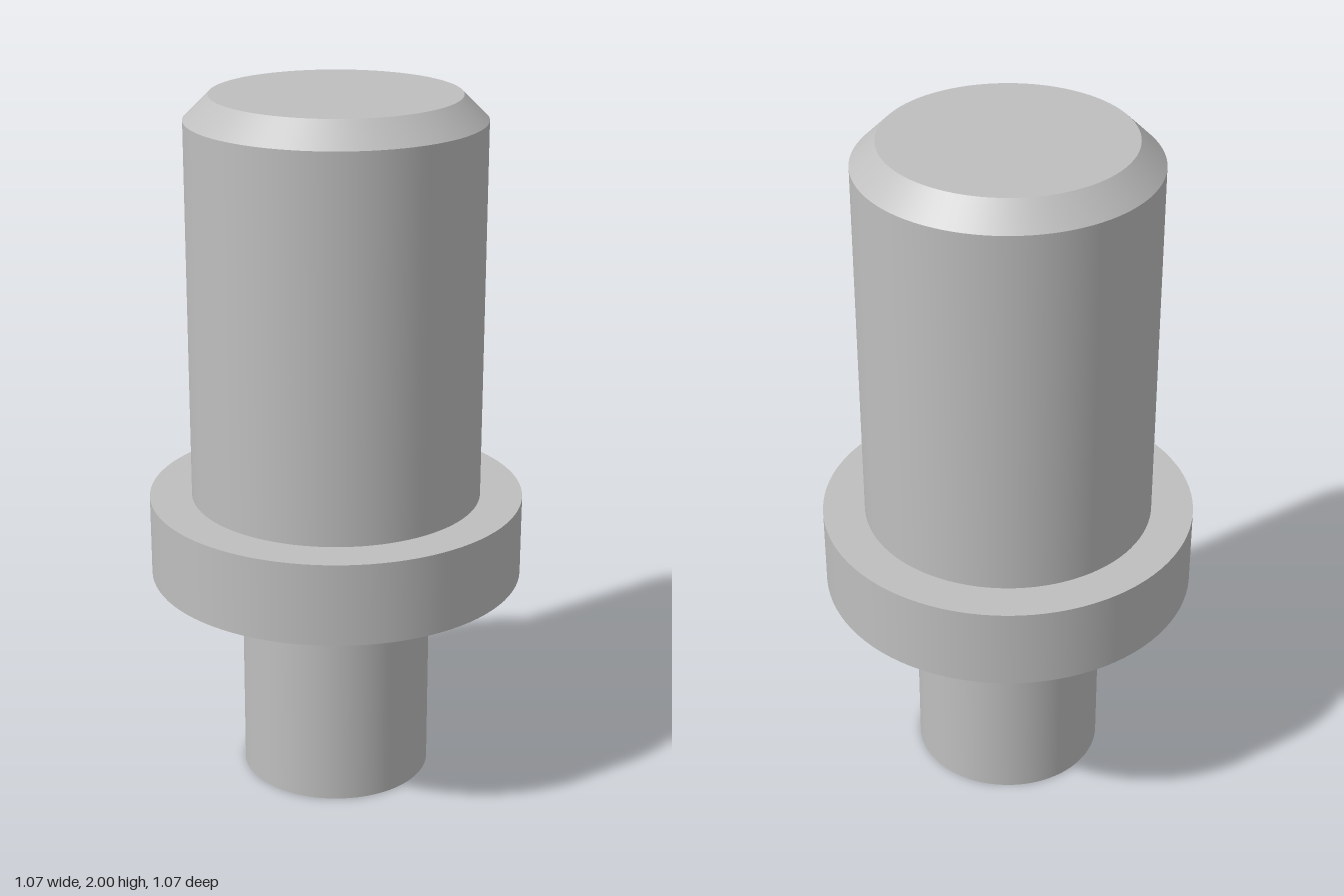
import * as THREE from 'three';

const SEGMENTS = 96;

export function createModel() {
  const group = new THREE.Group();
  group.name = 'shoulderPin';
  const steel = new THREE.MeshStandardMaterial({ color: 0xbfbfbf });
  steel.name = 'steel grey';

  // Round section between two heights, optionally tapered
  function section(name, y0, y1, rBottom, rTop, open = false) {
    const geometry = new THREE.CylinderGeometry(rTop, rBottom, y1 - y0, SEGMENTS, 1, open);
    const mesh = new THREE.Mesh(geometry, steel);
    mesh.name = name;
    mesh.position.y = (y0 + y1) / 2;
    group.add(mesh);
  }

  // Flat disc or ring facing up (or down)
  function face(name, y, rInner, rOuter, up = true) {
    const geometry = rInner > 0
      ? new THREE.RingGeometry(rInner, rOuter, SEGMENTS)
      : new THREE.CircleGeometry(rOuter, SEGMENTS);
    geometry.rotateX(up ? -Math.PI / 2 : Math.PI / 2);
    const mesh = new THREE.Mesh(geometry, steel);
    mesh.name = name;
    mesh.position.y = y;
    group.add(mesh);
  }

  const stem = 0.272, collar = 0.533, body = 0.413, tip = 0.344;

  // Narrow lower stem
  face('stemEnd', 0, 0, stem, false);
  section('stem', 0, 0.62, stem, stem, true);

  // Wide collar
  face('collarUnderside', 0.62, stem, collar, false);
  section('collar', 0.62, 0.855, collar, collar, true);
  face('collarTop', 0.855, body, collar);

  // Upper body with chamfered end
  section('body', 0.855, 1.932, body, body, true);
  section('chamfer', 1.932, 2, body, tip, true);
  face('bodyEnd', 2, 0, tip);

  return group;
}
